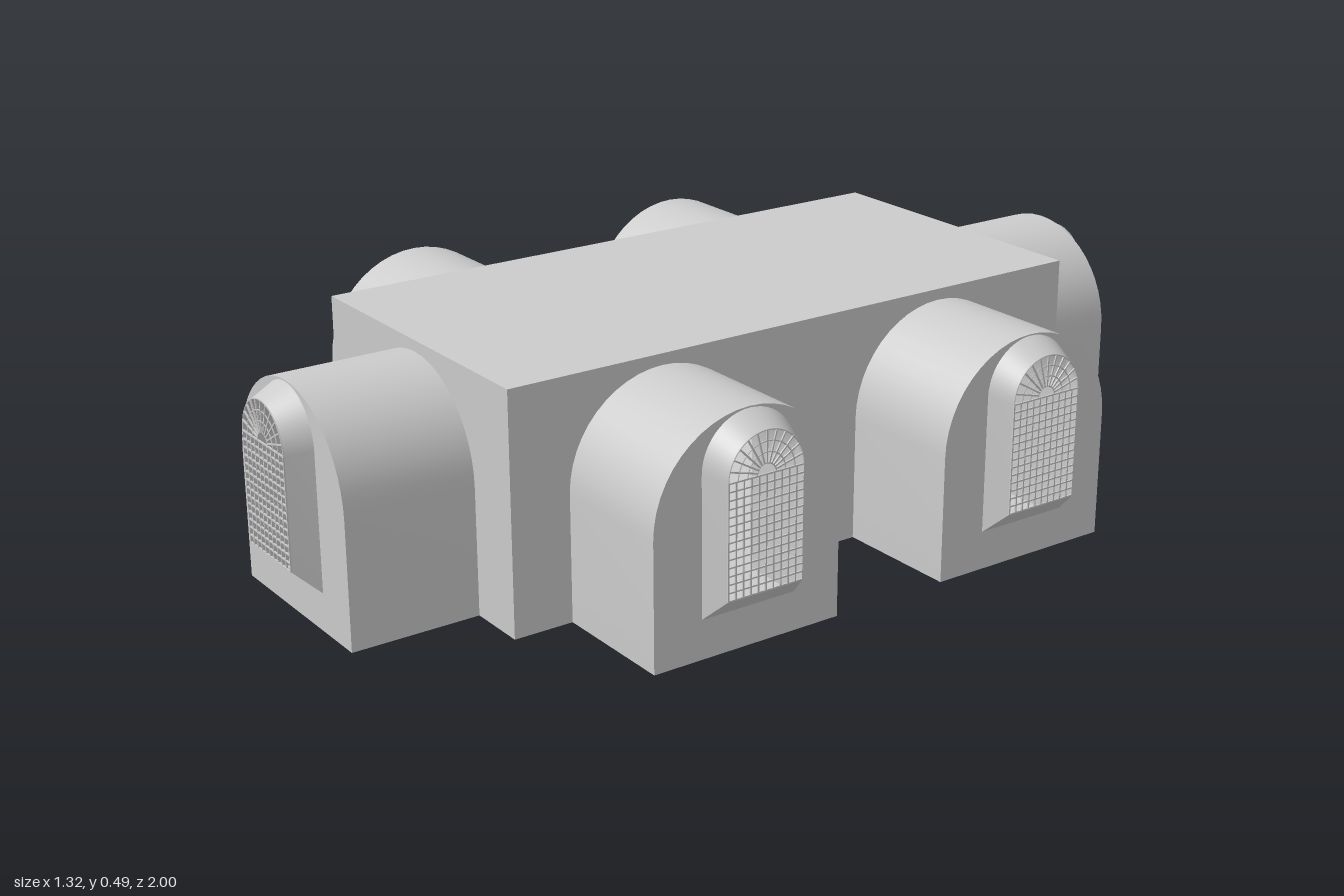
import * as THREE from 'three';
import { toCreasedNormals, mergeGeometries } from 'three/addons/utils/BufferGeometryUtils.js';

const HALL = { x: 0.338, y: 0.493, z: 0.677 };
const BAY = { r: 0.21, spring: 0.26, depth: 0.27 };
const REVEAL = { r: 0.105, sill: 0.08, spring: 0.362 };
const PANE = { r: 0.084, sill: 0.13, spring: 0.357, out: 0.053 };

const material = new THREE.MeshStandardMaterial({ color: 0xcccccc, side: THREE.DoubleSide });

function mesh(name, geometry) {
  const m = new THREE.Mesh(geometry, material);
  m.name = name;
  return m;
}

// Round-headed outline, from bottom right over the arch to bottom left
function arch(r, sill, spring, cx = 0, segments = 24) {
  const pts = [new THREE.Vector2(cx + r, sill)];
  for (let i = 0; i <= segments; i++) {
    const a = (i / segments) * Math.PI;
    pts.push(new THREE.Vector2(cx + r * Math.cos(a), spring + r * Math.sin(a)));
  }
  pts.push(new THREE.Vector2(cx - r, sill));
  return pts;
}

// Skin between two closed outlines at depths z0 and z1
function loft(a, z0, b, z1) {
  const n = a.length, pos = [], index = [];
  a.forEach((p) => pos.push(p.x, p.y, z0));
  b.forEach((p) => pos.push(p.x, p.y, z1));
  for (let i = 0; i < n; i++) {
    const j = (i + 1) % n;
    index.push(i, j, n + j, i, n + j, n + i);
  }
  const g = new THREE.BufferGeometry();
  g.setAttribute('position', new THREE.Float32BufferAttribute(pos, 3));
  g.setIndex(index);
  return toCreasedNormals(g, 0.5);
}

// Hall wall with arched openings down to the floor
function hallWall(name, half, centres) {
  const pts = [new THREE.Vector2(-half, 0)];
  centres.forEach((c) => pts.push(...arch(BAY.r, 0, BAY.spring, c).reverse()));
  pts.push(new THREE.Vector2(half, 0), new THREE.Vector2(half, HALL.y), new THREE.Vector2(-half, HALL.y));
  return mesh(name, new THREE.ShapeGeometry(new THREE.Shape(pts)));
}

// Thin lattice: square grid below, spokes and rings in the round head
function latticeGeometry() {
  const t = 0.003, parts = [], { r, sill, spring } = PANE;
  const bar = (w, h, x, y, turn = 0) =>
    parts.push(new THREE.BoxGeometry(w, h, t).rotateZ(turn).translate(x, y, 0));
  const columns = 10, rows = 14, spokes = 12, rings = 4;
  for (let i = 0; i <= columns; i++) {
    bar(t, spring - sill, -r + (2 * r * i) / columns, (sill + spring) / 2);
  }
  for (let i = 0; i <= rows; i++) bar(2 * r, t, 0, sill + ((spring - sill) * i) / rows);
  const inner = r / rings, len = r - inner;
  for (let i = 1; i < spokes; i++) {
    const a = (i / spokes) * Math.PI, mid = inner + len / 2;
    bar(len, t, mid * Math.cos(a), spring + mid * Math.sin(a), a);
  }
  for (let i = 1; i <= rings; i++) {
    parts.push(new THREE.TorusGeometry((r * i) / rings, t / 2, 4, 24, Math.PI).translate(0, spring, 0));
  }
  return mergeGeometries(parts);
}

// Vaulted bay running along +z from the hall wall, with a splayed window
function makeBay(lattice) {
  const bay = new THREE.Group();
  const outline = arch(BAY.r, 0, BAY.spring);
  const opening = arch(REVEAL.r, REVEAL.sill, REVEAL.spring);
  const pane = arch(PANE.r, PANE.sill, PANE.spring);

  bay.add(mesh('bayVault', loft(outline, 0, outline, BAY.depth)));

  const end = new THREE.Shape(outline);
  end.holes.push(new THREE.Path(opening));
  const endWall = mesh('bayEndWall', new THREE.ShapeGeometry(end));
  endWall.position.z = BAY.depth;
  bay.add(endWall);

  bay.add(mesh('windowReveal', loft(opening, BAY.depth, pane, BAY.depth + PANE.out)));
  const grid = mesh('windowLattice', lattice);
  grid.position.z = BAY.depth + PANE.out - 0.0015;
  bay.add(grid);
  return bay;
}

export function createModel() {
  const model = new THREE.Group();
  model.name = 'vaultedHall';

  // Central hall: floor, ceiling and four pierced walls
  const hall = new THREE.Group();
  hall.name = 'hall';
  const slab = (name, y, turn) => {
    const m = mesh(name, new THREE.PlaneGeometry(2 * HALL.x, 2 * HALL.z));
    m.rotation.x = turn;
    m.position.y = y;
    hall.add(m);
  };
  slab('floor', 0, Math.PI / 2);
  slab('ceiling', HALL.y, -Math.PI / 2);
  model.add(hall);

  const lattice = latticeGeometry();
  const sides = [
    { name: 'front', turn: 0, half: HALL.x, out: HALL.z, centres: [0] },
    { name: 'left', turn: Math.PI / 2, half: HALL.z, out: HALL.x, centres: [-0.34, 0.34] },
    { name: 'back', turn: Math.PI, half: HALL.x, out: HALL.z, centres: [0] },
    { name: 'right', turn: -Math.PI / 2, half: HALL.z, out: HALL.x, centres: [-0.34, 0.34] },
  ];
  for (const s of sides) {
    const side = new THREE.Group();
    side.name = s.name + 'Side';
    side.rotation.y = s.turn;
    const wall = hallWall(s.name + 'Wall', s.half, s.centres);
    wall.position.z = s.out;
    side.add(wall);
    s.centres.forEach((c, i) => {
      const bay = makeBay(lattice);
      bay.name = s.name + 'Bay' + (i + 1);
      bay.position.set(c, 0, s.out);
      side.add(bay);
    });
    model.add(side);
  }
  return model;
}
